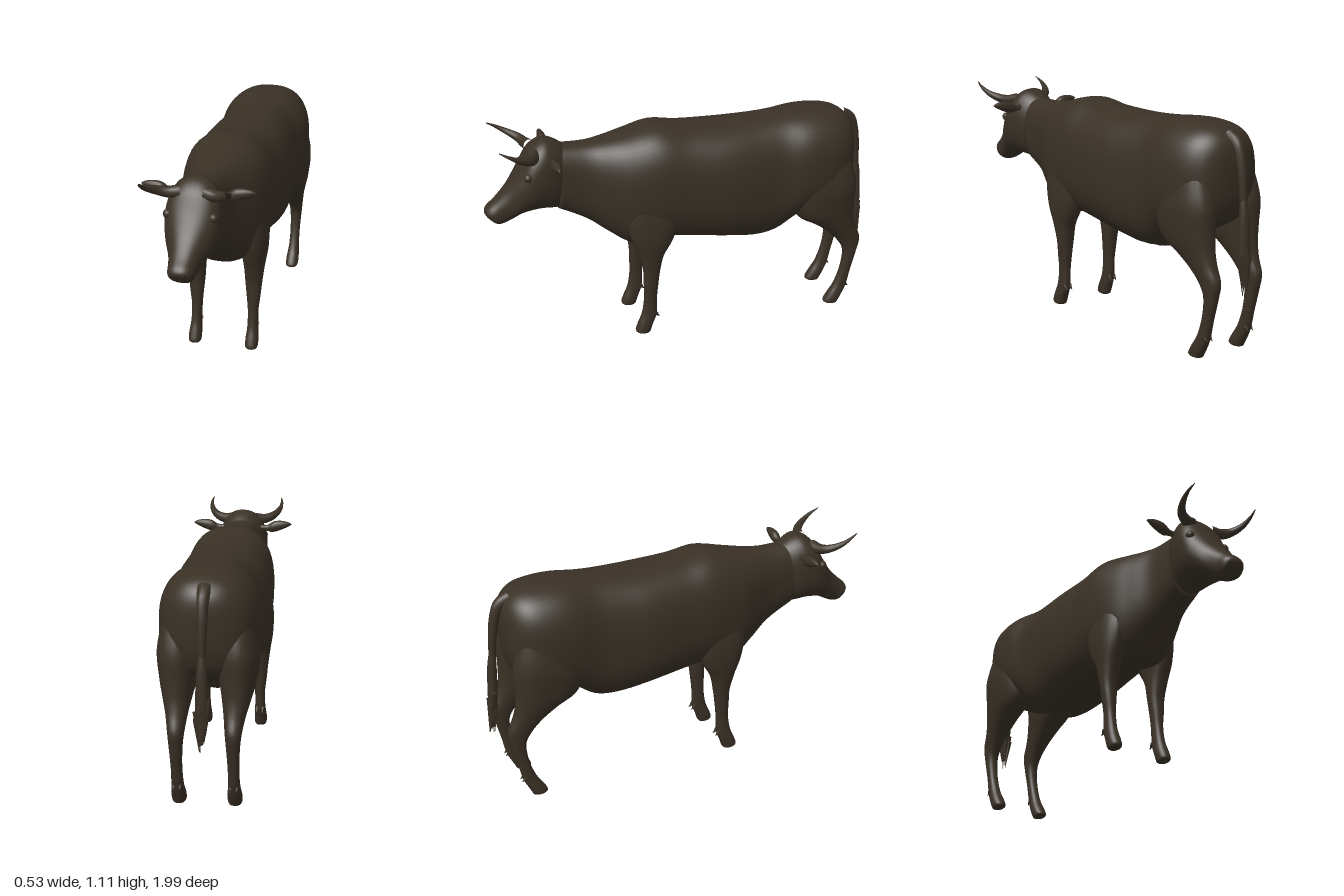
import * as THREE from 'three';

const hide = new THREE.MeshStandardMaterial({ color: 0x3a3126 });
hide.name = 'darkBrownHide';

// Smooth interpolation between four values
const spline = (a, b, c, d, t) =>
  b + 0.5 * t * (c - a + t * (2 * a - 5 * b + 4 * c - d + t * (3 * (b - c) + d - a)));

// Smooth skin over sections [z1, y1, z2, y2, halfWidth, centreX]; point 1 and
// point 2 are the two ends of each section in the side plane.
function loft(sections, { steps = 5, sides = 32, power = 2.3, side = 1 } = {}) {
  const pos = [], index = [], n = sections.length, rings = [];
  const at = (i) => sections[Math.max(0, Math.min(n - 1, i))];
  for (let i = 0; i < n - 1; i++)
    for (let s = 0; s < steps; s++)
      rings.push([0, 1, 2, 3, 4, 5].map((k) =>
        spline(at(i - 1)[k] ?? 0, at(i)[k] ?? 0, at(i + 1)[k] ?? 0, at(i + 2)[k] ?? 0, s / steps)));
  rings.push([0, 1, 2, 3, 4, 5].map((k) => at(n - 1)[k] ?? 0));
  const bend = (v) => Math.sign(v) * Math.abs(v) ** (2 / power);
  for (const [z1, y1, z2, y2, w, cx] of rings)
    for (let j = 0; j < sides; j++) {
      const a = (j / sides) * Math.PI * 2, c = bend(Math.cos(a)), s = bend(Math.sin(a));
      pos.push(side * cx + w * c, (y1 + y2) / 2 + s * (y1 - y2) / 2, (z1 + z2) / 2 + s * (z1 - z2) / 2);
    }
  for (let i = 0; i < rings.length - 1; i++)
    for (let j = 0; j < sides; j++) {
      const a = i * sides + j, b = i * sides + (j + 1) % sides;
      index.push(a, b, a + sides, b, b + sides, a + sides);
    }
  // End caps
  [0, rings.length - 1].forEach((r) => {
    const [z1, y1, z2, y2, , cx] = rings[r], centre = pos.length / 3;
    pos.push(side * cx, (y1 + y2) / 2, (z1 + z2) / 2);
    for (let j = 0; j < sides; j++) {
      const a = r * sides + j, b = r * sides + (j + 1) % sides;
      index.push(centre, ...(r ? [a, b] : [b, a]));
    }
  });
  const g = new THREE.BufferGeometry();
  g.setAttribute('position', new THREE.Float32BufferAttribute(pos, 3));
  g.setIndex(index);
  g.computeVertexNormals();
  return g;
}

// Tube along points, narrowing from r0 to r1
function taper(points, r0, r1, ease = 1) {
  const curve = new THREE.CatmullRomCurve3(points.map((p) => new THREE.Vector3(...p)));
  const seg = 24, radial = 14, g = new THREE.TubeGeometry(curve, seg, 1, radial);
  const p = g.attributes.position, v = new THREE.Vector3();
  for (let i = 0; i <= seg; i++) {
    const c = curve.getPointAt(i / seg), r = r0 + (r1 - r0) * (i / seg) ** ease;
    for (let j = 0; j <= radial; j++) {
      const k = i * (radial + 1) + j;
      v.fromBufferAttribute(p, k).sub(c).multiplyScalar(r).add(c);
      p.setXYZ(k, v.x, v.y, v.z);
    }
  }
  g.computeVertexNormals();
  return g;
}

export function createModel() {
  const model = new THREE.Group();
  const add = (name, geometry) => {
    const m = new THREE.Mesh(geometry, hide);
    m.name = name;
    model.add(m);
    return m;
  };

  // Trunk and neck, rump to throat
  add('body', loft([
    [-0.905, 0.93, -0.895, 0.78, 0.03],
    [-0.89, 1.0, -0.885, 0.72, 0.1],
    [-0.85, 1.05, -0.85, 0.64, 0.165],
    [-0.79, 1.078, -0.77, 0.59, 0.21],
    [-0.7, 1.09, -0.68, 0.55, 0.232],
    [-0.6, 1.09, -0.58, 0.53, 0.234],
    [-0.48, 1.08, -0.47, 0.455, 0.217],
    [-0.36, 1.073, -0.36, 0.438, 0.225],
    [-0.2, 1.07, -0.2, 0.46, 0.24],
    [0, 1.08, 0, 0.49, 0.227],
    [0.15, 1.1, 0.13, 0.505, 0.222],
    [0.29, 1.072, 0.28, 0.487, 0.198],
    [0.4, 1.05, 0.39, 0.555, 0.155],
    [0.5, 1.04, 0.5, 0.64, 0.115],
    [0.64, 1.045, 0.64, 0.715, 0.1],
  ], { sides: 48, power: 2.5 }));

  // Head, poll to muzzle
  add('head', loft([
    [0.59, 1.035, 0.61, 0.72, 0.085],
    [0.64, 1.07, 0.66, 0.722, 0.112],
    [0.7, 1.085, 0.72, 0.728, 0.128],
    [0.765, 1.045, 0.775, 0.725, 0.128],
    [0.82, 0.955, 0.82, 0.715, 0.11],
    [0.88, 0.865, 0.865, 0.69, 0.082],
    [0.94, 0.8, 0.9, 0.673, 0.066],
    [0.98, 0.765, 0.93, 0.668, 0.06],
    [0.995, 0.745, 0.955, 0.68, 0.047],
    [0.998, 0.73, 0.98, 0.7, 0.02],
  ], { sides: 40, power: 2.3 }));

  // Udder
  const udder = add('udder', new THREE.SphereGeometry(1, 28, 18));
  udder.scale.set(0.1, 0.085, 0.14);
  udder.position.set(0, 0.515, -0.39);

  for (const s of [1, -1]) {
    const label = s > 0 ? 'left' : 'right';

    // Legs, top to hoof
    add(label + 'FrontLeg', loft([
      [0.31, 0.8, 0.08, 0.8, 0.05, 0.14],
      [0.325, 0.66, 0.06, 0.66, 0.068, 0.145],
      [0.305, 0.55, 0.09, 0.54, 0.064, 0.15],
      [0.268, 0.45, 0.14, 0.45, 0.051, 0.15],
      [0.245, 0.36, 0.16, 0.36, 0.042, 0.147],
      [0.243, 0.28, 0.17, 0.28, 0.034, 0.147],
      [0.243, 0.2, 0.177, 0.2, 0.026, 0.146],
      [0.255, 0.12, 0.18, 0.11, 0.027, 0.147],
      [0.278, 0.06, 0.2, 0.055, 0.032, 0.148],
      [0.29, 0.025, 0.212, 0.018, 0.031, 0.148],
      [0.283, 0.012, 0.22, 0.008, 0.026, 0.148],
    ], { side: s, sides: 24 }));
    add(label + 'HindLeg', loft([
      [-0.57, 0.86, -0.84, 0.88, 0.07, 0.135],
      [-0.54, 0.7, -0.885, 0.73, 0.096, 0.137],
      [-0.57, 0.56, -0.885, 0.6, 0.084, 0.137],
      [-0.675, 0.49, -0.888, 0.52, 0.066, 0.135],
      [-0.755, 0.43, -0.905, 0.45, 0.05, 0.132],
      [-0.815, 0.365, -0.935, 0.375, 0.038, 0.13],
      [-0.848, 0.3, -0.922, 0.3, 0.031, 0.13],
      [-0.838, 0.2, -0.895, 0.19, 0.026, 0.13],
      [-0.808, 0.11, -0.875, 0.1, 0.028, 0.13],
      [-0.775, 0.055, -0.85, 0.045, 0.034, 0.13],
      [-0.752, 0.015, -0.832, 0.01, 0.033, 0.13],
      [-0.76, 0.002, -0.828, 0, 0.027, 0.13],
    ], { side: s, sides: 24 }));

    // Dewclaws behind each pastern
    for (const [x, y, z] of [[0.147, 0.105, 0.178], [0.13, 0.1, -0.872]])
      for (const d of [-0.015, 0.015]) {
        const claw = add(label + 'Dewclaw', new THREE.ConeGeometry(0.012, 0.035, 10));
        claw.position.set(s * x + d, y, z);
        claw.rotation.x = -2.3;
      }

    // Horn sweeping out, forward and up
    add(label + 'Horn', taper([
      [s * 0.06, 1.028, 0.75], [s * 0.11, 1.025, 0.765], [s * 0.155, 1.038, 0.79],
      [s * 0.187, 1.062, 0.84], [s * 0.197, 1.09, 0.89], [s * 0.192, 1.113, 0.932],
    ], 0.03, 0.002, 1.2));

    // Leaf-shaped ear
    const ear = loft([
      [0, 0.015, 0, -0.015, 0.014],
      [0.04, 0.016, 0.04, -0.018, 0.014],
      [0.075, 0.036, 0.065, -0.024, 0.022],
      [0.115, 0.04, 0.105, -0.014, 0.02],
      [0.15, 0.034, 0.145, 0.004, 0.012],
      [0.17, 0.024, 0.17, 0.018, 0.003],
    ], { sides: 20, power: 2 });
    ear.rotateY(s * Math.PI / 2);
    add(label + 'Ear', ear).position.set(s * 0.097, 0.994, 0.667);

    // Eye and nostril bulges
    const eye = add(label + 'Eye', new THREE.SphereGeometry(0.022, 16, 12));
    eye.position.set(s * 0.106, 0.93, 0.79);
    const nostril = add(label + 'Nostril', new THREE.SphereGeometry(0.014, 14, 10));
    nostril.position.set(s * 0.037, 0.745, 0.966);
  }

  // Tail with a hairy switch
  add('tail', taper([
    [0, 1.03, -0.845], [0, 1.005, -0.895], [0, 0.94, -0.922], [0, 0.85, -0.938],
    [0, 0.72, -0.948], [0, 0.55, -0.96],
  ], 0.034, 0.011, 0.7));
  add('tailSwitch', loft([
    [-0.933, 0.8, -0.953, 0.8, 0.01],
    [-0.93, 0.68, -0.975, 0.68, 0.024],
    [-0.937, 0.52, -0.983, 0.52, 0.029],
    [-0.95, 0.41, -0.988, 0.41, 0.023],
    [-0.965, 0.35, -0.985, 0.35, 0.006],
  ], { sides: 14, power: 2 }));
  for (let i = 0; i < 14; i++) {
    const a = i * 2.4, length = 0.16 + 0.05 * Math.sin(i * 5.1);
    const strand = add('tailHair', new THREE.ConeGeometry(0.011, length, 6));
    strand.position.set(0.02 * Math.cos(a), 0.42 + 0.035 * Math.sin(i * 3.7), -0.968 + 0.015 * Math.sin(a));
    strand.rotation.set(Math.PI + 0.06, 0, 0.12 * Math.cos(a));
  }

  return model;
}
